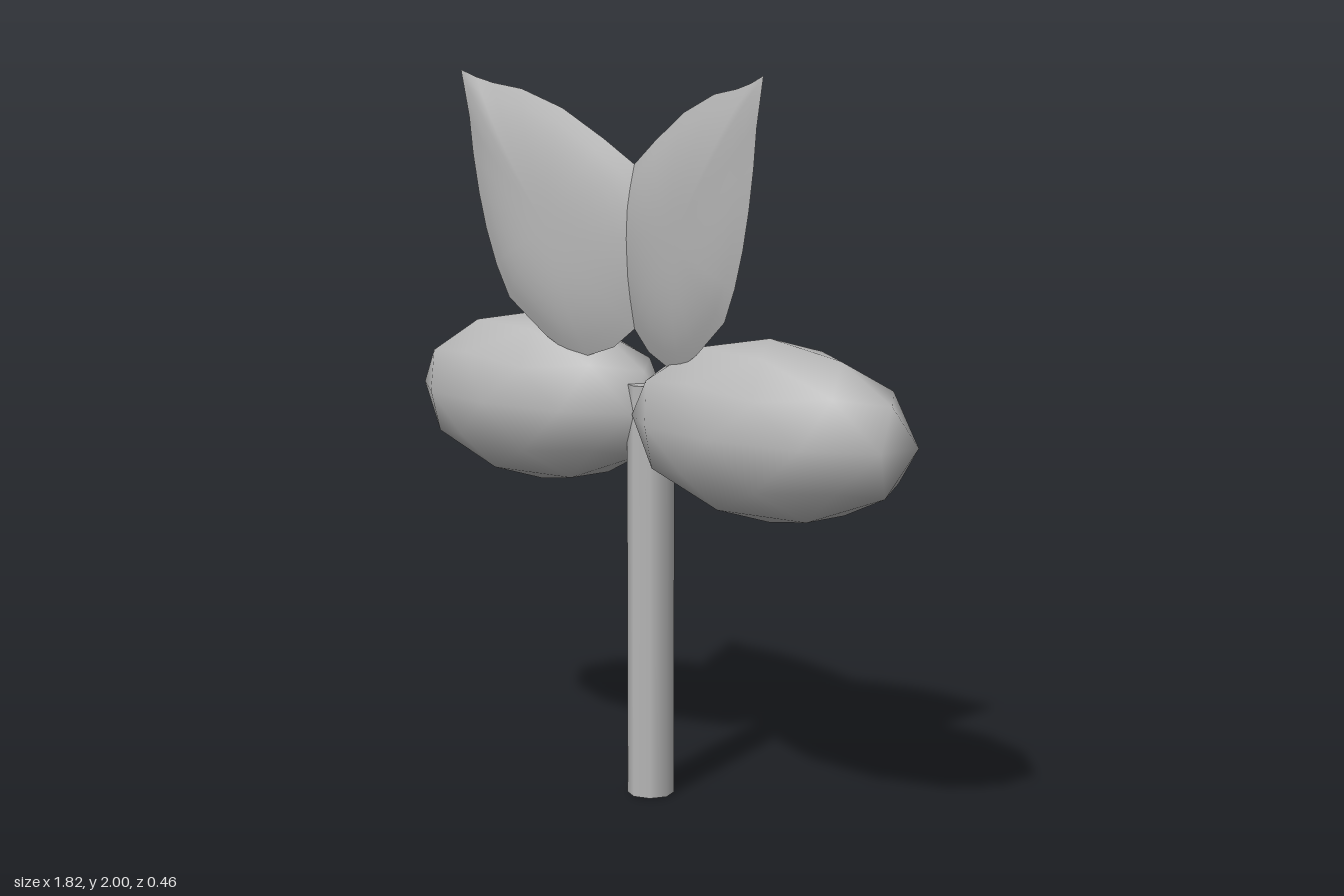
import * as THREE from 'three';

const plantMaterial = new THREE.MeshStandardMaterial({ color: 0xb8b8b8, side: THREE.DoubleSide });
plantMaterial.name = 'plain grey';

// Edge of the left leaf in x, y, running from the tip down the outer side
const LEAF_EDGE = [
  [0.595, 2.0], [0.567, 1.87], [0.555, 1.77], [0.535, 1.66], [0.51, 1.56], [0.475, 1.46],
  [0.43, 1.37], [0.3, 1.27], [0.225, 1.23], [0.16, 1.225], [0.07, 1.255], [0, 1.31],
  [-0.07, 1.42], [-0.1, 1.55], [-0.075, 1.66], [0, 1.755], [0.1, 1.82], [0.24, 1.9],
  [0.38, 1.95], [0.48, 1.965], [0.54, 1.98],
];

// Cupped leaf: rings grow from the middle to the edge on a slanted plane that bulges forward
function leafGeometry(side) {
  const [cx, cy] = [0.25, 1.57];
  const rings = 8, n = LEAF_EDGE.length;
  const positions = [], index = [];
  const add = (x, y, r) =>
    positions.push(side * x, y, 0.06 + 0.19 * x + 0.048 * (1 - r ** 3));
  add(cx, cy, 0);
  for (let k = 1; k <= rings; k++) {
    const r = k / rings;
    for (const [x, y] of LEAF_EDGE) add(cx + (x - cx) * r, cy + (y - cy) * r, r);
  }
  const face = (a, b, c) => (side > 0 ? index.push(a, c, b) : index.push(a, b, c));
  for (let i = 0; i < n; i++) {
    const j = (i + 1) % n;
    face(0, 1 + i, 1 + j);
    for (let k = 0; k < rings - 1; k++) {
      const a = 1 + k * n, b = a + n;
      face(a + i, b + i, b + j);
      face(a + i, b + j, a + j);
    }
  }
  const geometry = new THREE.BufferGeometry();
  geometry.setAttribute('position', new THREE.Float32BufferAttribute(positions, 3));
  geometry.setIndex(index);
  geometry.computeVertexNormals();
  return geometry;
}

export function createModel() {
  const model = new THREE.Group();
  model.name = 'plant';
  const add = (name, geometry) => {
    const mesh = new THREE.Mesh(geometry, plantMaterial);
    mesh.name = name;
    model.add(mesh);
    return mesh;
  };

  // Upright stem
  add('stem', new THREE.CylinderGeometry(0.065, 0.065, 1.155, 8)).position.y = 0.5775;

  // Two long pods: a low-count sphere standing on its point, then stretched sideways
  const pod = new THREE.IcosahedronGeometry(1, 1);
  pod.rotateZ(-Math.atan(2 / (1 + Math.sqrt(5))));
  pod.scale(0.478, 0.243, 0.228);
  for (const [name, side] of [['left', 1], ['right', -1]]) {
    add(name + 'Pod', pod).position.set(side * 0.455, 1.077, 0);
    add(name + 'Leaf', leafGeometry(side));
  }
  return model;
}
